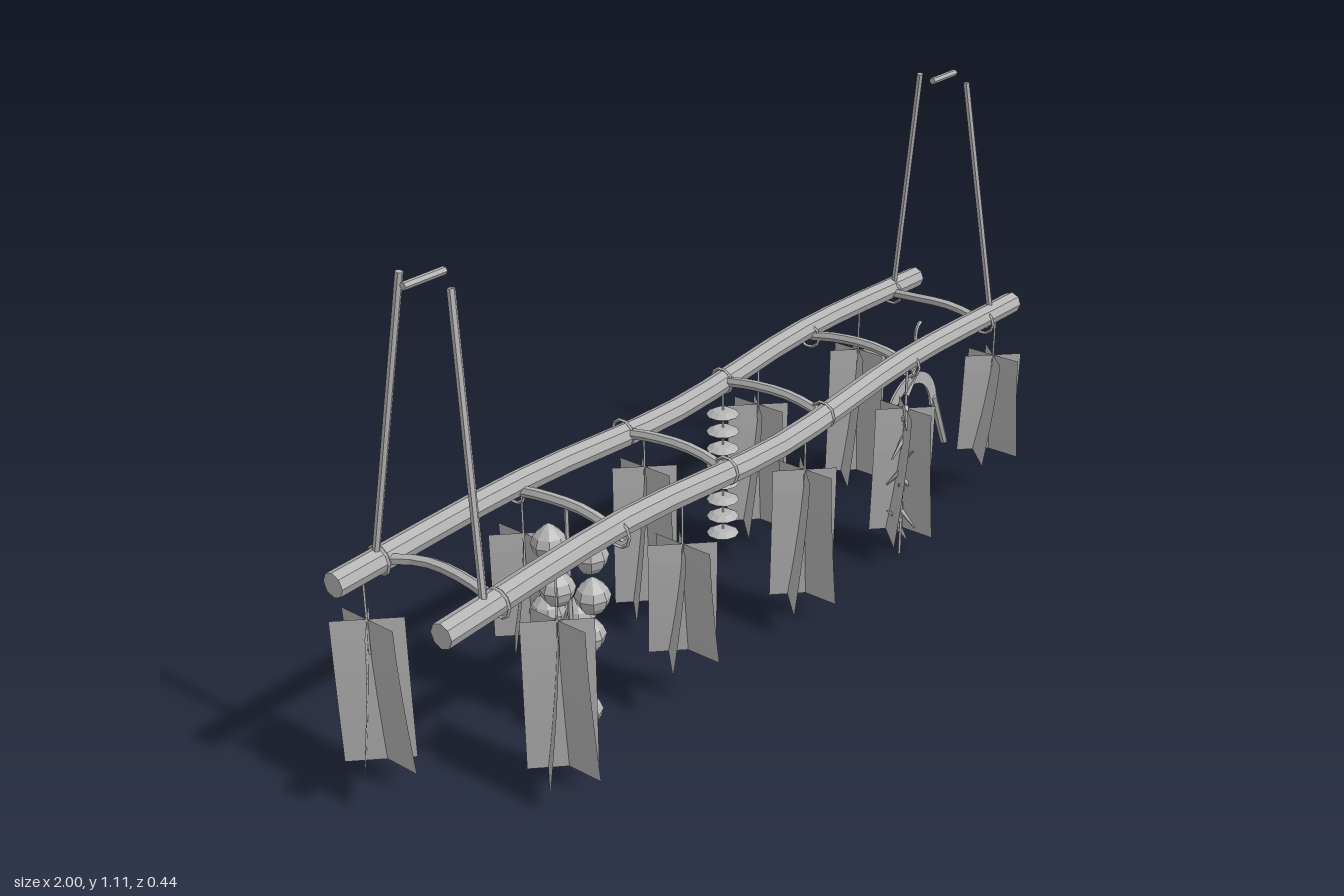
import * as THREE from 'three';

const V = (x, y, z) => new THREE.Vector3(x, y, z);

export function createModel() {
  const model = new THREE.Group();
  const grey = new THREE.MeshStandardMaterial({ color: 0xb4b4b4, flatShading: true, side: THREE.DoubleSide });
  grey.name = 'grey';

  const add = (name, geometry, parent = model) => {
    const mesh = new THREE.Mesh(geometry, grey);
    mesh.name = name;
    parent.add(mesh);
    return mesh;
  };
  const group = (name, x, y, z) => {
    const g = new THREE.Group();
    g.name = name;
    g.position.set(x, y, z);
    model.add(g);
    return g;
  };
  // straight round bar between two points
  const rod = (name, a, b, r0, r1 = r0, sides = 6, parent = model) => {
    const dir = b.clone().sub(a);
    const mesh = add(name, new THREE.CylinderGeometry(r1, r0, dir.length(), sides), parent);
    mesh.position.copy(a).add(b).multiplyScalar(0.5);
    mesh.quaternion.setFromUnitVectors(V(0, 1, 0), dir.normalize());
    return mesh;
  };
  const tube = (name, points, r, segments, sides) =>
    add(name, new THREE.TubeGeometry(new THREE.CatmullRomCurve3(points), segments, r, sides));

  // two long, slightly wavy poles with end caps
  const poleY = [0.505, 0.522, 0.497, 0.525, 0.515];
  const poleZ = { frontPole: [0.143, 0.14, 0.15, 0.143, 0.143], backPole: [-0.145, -0.14, -0.142, -0.152, -0.148] };
  for (const [name, zs] of Object.entries(poleZ)) {
    const pts = zs.map((z, i) => V(-1 + i * 0.5, poleY[i], z));
    tube(name, pts, 0.027, 16, 8);
    for (const i of [0, 4]) {
      const cap = add(name + 'End', new THREE.CircleGeometry(0.027, 8));
      cap.position.copy(pts[i]);
      cap.rotation.y = i ? Math.PI / 2 : -Math.PI / 2;
    }
  }

  // arched rungs, lashed to both poles
  const rungs = [[-0.85, -0.885], [-0.515, -0.515], [-0.17, -0.175], [0.178, 0.175], [0.528, 0.52], [0.865, 0.885]];
  for (const [mid, end] of rungs) {
    tube('rung', [V(end, 0.505, -0.16), V(mid, 0.52, -0.06), V(mid, 0.523, 0.05),
      V(mid - 0.008, 0.505, 0.16)], 0.012, 8, 6);
    for (const z of [-0.145, 0.145]) {
      const ring = add('lashing', new THREE.TorusGeometry(0.03, 0.004, 4, 10));
      ring.position.set(z < 0 ? end : mid - 0.008, 0.508, z);
      ring.rotation.y = Math.PI / 2;
    }
  }

  // hanging ropes and the short bars above them
  for (const s of [-1, 1]) {
    for (const t of [-1, 1]) {
      rod('rope', V(s * 0.893, 0.515, t * 0.145), V(s * 0.848, 1.105, t * 0.065), 0.008);
    }
    rod('topBar', V(s * 0.9, 1.108, 0), V(s * 0.8, 1.108, 0), 0.008);
  }

  // leaf bundles: three crossed, curling leaves on a string [x, z, bottom]
  const bundles = [
    [-0.705, 0.145, 0.035], [-0.325, 0.145, 0.12], [0.105, 0.145, 0.06], [0.515, 0.145, 0.055], [0.92, 0.145, 0.117],
    [-0.928, -0.145, 0.05], [-0.495, -0.145, 0.13], [-0.105, -0.145, 0.03], [0.315, -0.145, 0.067], [0.738, -0.145, 0.035],
  ];
  for (const [x, z, bottom] of bundles) {
    const g = group('leafBundle', x, 0.397, z);
    const length = 0.397 - bottom;
    for (const angle of [0.5, 0.75, 1.25]) {
      const geo = new THREE.PlaneGeometry(0.145, length, 1, 6);
      geo.translate(0, -length / 2, 0);
      const p = geo.attributes.position;
      for (let i = 0; i < p.count; i++) p.setZ(i, 0.03 * Math.pow(Math.max(0, -p.getY(i) / length), 1.4));
      geo.computeVertexNormals();
      add('leaf', geo, g).rotation.y = angle * Math.PI;
    }
    rod('bundleString', V(0, -0.08, 0), V(0, 0.11, 0), 0.003, 0.003, 4, g);
  }

  // string of bulbs [y, x offset, z offset]
  const bulbs = group('bulbString', -0.515, 0, 0);
  const bulbShape = new THREE.LatheGeometry([[0, -0.039], [0.022, -0.034], [0.034, -0.018], [0.039, 0],
    [0.032, 0.018], [0.013, 0.036], [0, 0.045]].map(([r, y]) => new THREE.Vector2(r, y)), 8);
  for (const [y, x, z] of [
    [0.435, -0.025, -0.028], [0.405, 0.027, 0.036], [0.345, -0.036, 0], [0.308, 0.03, 0.036],
    [0.275, -0.03, -0.036], [0.245, 0.033, -0.01], [0.21, 0.03, 0.02], [0.18, -0.025, -0.034],
    [0.15, -0.026, 0.03], [0.115, 0.034, -0.02], [0.08, -0.036, -0.018], [0.048, -0.005, 0.036],
  ]) add('bulb', bulbShape, bulbs).position.set(x, y, z);
  rod('bulbCord', V(0, 0, 0), V(0, 0.51, 0), 0.007, 0.005, 5, bulbs);

  // string of dried slices
  const slices = group('sliceString', 0.178, 0, -0.145);
  const sliceShape = new THREE.LatheGeometry([[0, -0.011], [0.022, -0.01], [0.039, 0], [0.022, 0.01], [0, 0.011]]
    .map(([r, y]) => new THREE.Vector2(r, y)), 10);
  for (let i = 0; i < 8; i++) add('slice', sliceShape, slices).position.y = 0.422 - i * 0.045;
  rod('sliceCord', V(0, 0.085, 0), V(0, 0.5, 0), 0.003, 0.003, 4, slices);

  // strand of thin pods pointing outward and down
  const pods = group('podStrand', 0.515, 0, 0.145);
  rod('podCord', V(0, 0, 0), V(0, 0.5, 0), 0.004, 0.004, 4, pods);
  for (let i = 0; i < 14; i++) {
    const a = i * 2.4, y = 0.43 - i * 0.028, up = i % 3 ? -0.045 : 0.035;
    rod('pod', V(0, y, 0), V(Math.cos(a) * 0.042, y + up, Math.sin(a) * 0.036), 0.008, 0.002, 5, pods);
  }

  // sickle: curved flat blade, handle and hook
  const blade = new THREE.Shape();
  blade.absarc(0, 0, 0.122, 0, Math.PI, false);
  blade.absarc(0.002, 0, 0.09, Math.PI, 0, true);
  const bladeGeo = new THREE.ExtrudeGeometry(blade, { depth: 0.006, bevelEnabled: false, curveSegments: 12 });
  add('sickleBlade', bladeGeo).position.set(0.77, 0.235, -0.003);
  rod('sickleHandle', V(0.878, 0.255, 0), V(0.945, 0.1, 0), 0.011, 0.01, 6);
  tube('sickleHook', [V(0.765, 0.345, 0), V(0.785, 0.37, 0), V(0.8, 0.41, 0), V(0.78, 0.445, 0),
    V(0.785, 0.48, 0), V(0.8, 0.49, 0)], 0.005, 14, 5);

  return model;
}
